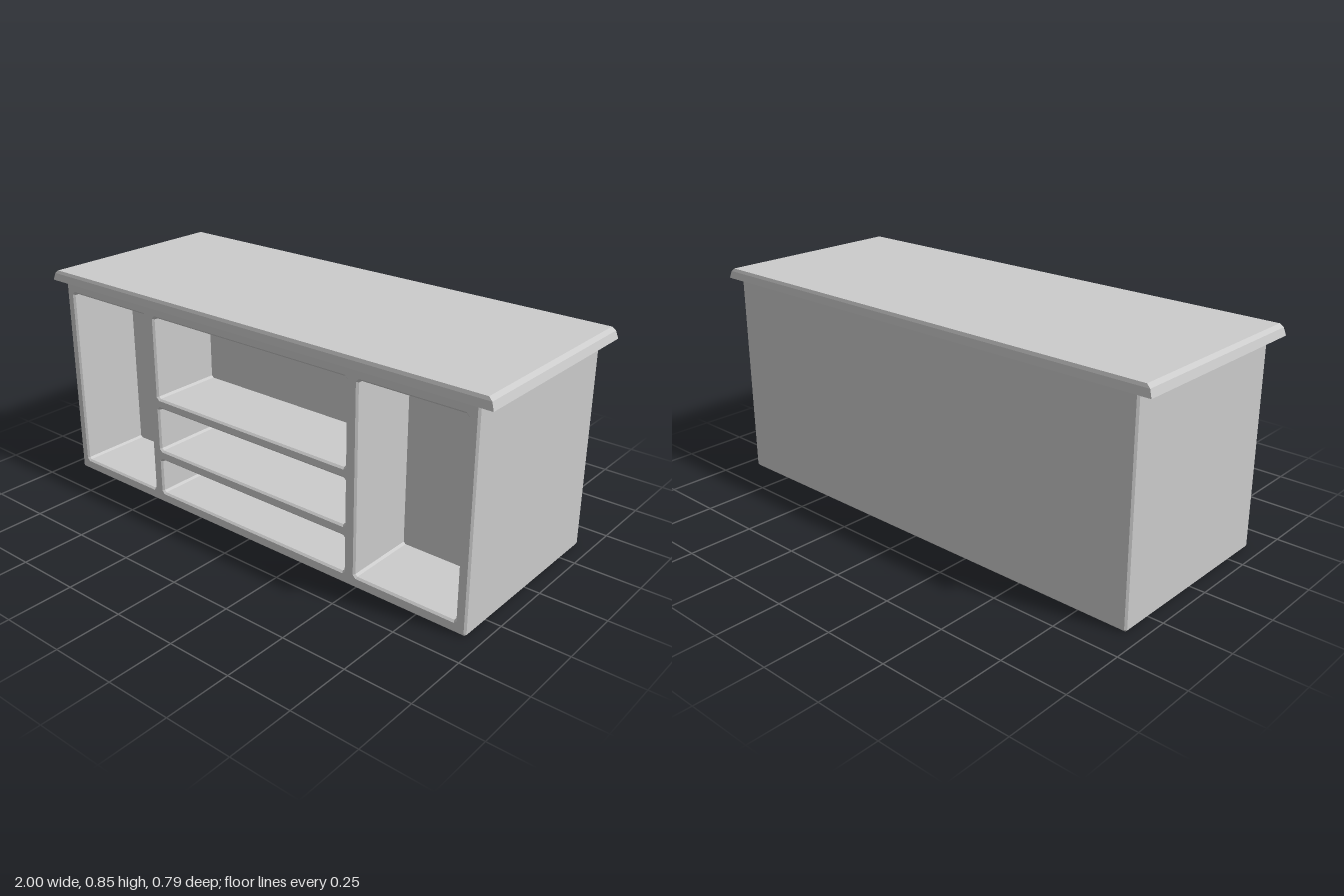
import * as THREE from 'three';

const BEVEL = 0.007;
const HALF_W = 0.945, HALF_D = 0.378, BODY_H = 0.81;
const RECESS_Z = 0.09; // back wall of the compartments

// Rectangle with cut corners, as a Shape or a hole Path
function cutRect(Type, x0, y0, x1, y1, c) {
  const p = new Type();
  p.moveTo(x0 + c, y0);
  p.lineTo(x1 - c, y0);
  p.lineTo(x1, y0 + c);
  p.lineTo(x1, y1 - c);
  p.lineTo(x1 - c, y1);
  p.lineTo(x0 + c, y1);
  p.lineTo(x0, y1 - c);
  p.lineTo(x0, y0 + c);
  p.closePath();
  return p;
}

// Bevelled slab between z0 and z1
function slab(shape, z0, z1) {
  const geo = new THREE.ExtrudeGeometry(shape, {
    depth: z1 - z0 - 2 * BEVEL,
    bevelEnabled: true,
    bevelThickness: BEVEL,
    bevelSize: BEVEL,
    bevelOffset: -BEVEL,
    bevelSegments: 1,
  });
  return geo.translate(0, 0, z0 + BEVEL);
}

export function createModel() {
  const group = new THREE.Group();
  const material = new THREE.MeshStandardMaterial({ color: 0xcccccc, flatShading: true });
  const add = (name, geo) => {
    const mesh = new THREE.Mesh(geo, material);
    mesh.name = name;
    group.add(mesh);
  };
  const outline = () => cutRect(THREE.Shape, -HALF_W, 0, HALF_W, BODY_H, BEVEL);

  // Solid rear of the cabinet, closing the compartments
  add('cabinetBack', slab(outline(), -HALF_D, RECESS_Z));

  // Front frame: tall side compartments and three shelves in the middle
  const frame = outline();
  const openings = [
    [-0.905, 0.044, -0.497, 0.765],
    [0.497, 0.044, 0.905, 0.765],
    [-0.45, 0.442, 0.45, 0.765],
    [-0.45, 0.226, 0.45, 0.403],
    [-0.45, 0.044, 0.45, 0.185],
  ];
  for (const o of openings) frame.holes.push(cutRect(THREE.Path, ...o, 0.008));
  // The frame's rear bevel sits inside the cabinet back
  add('cabinetFrame', slab(frame, RECESS_Z - 2 * BEVEL, HALF_D));

  // Overhanging worktop with sloped, eased edges: [y, half width, half depth]
  const levels = [[0.807, 1, 0.397], [0.835, 0.991, 0.393], [0.847, 0.977, 0.389]];
  const top = new THREE.BoxGeometry(2, 2, 2, 1, 2, 1);
  const pos = top.attributes.position;
  for (let i = 0; i < pos.count; i++) {
    const [y, hw, hd] = levels[Math.round(pos.getY(i)) + 1];
    pos.setXYZ(i, Math.sign(pos.getX(i)) * hw, y, Math.sign(pos.getZ(i)) * hd);
  }
  const flatTop = top.toNonIndexed();
  flatTop.computeVertexNormals();
  add('worktop', flatTop);

  return group;
}
